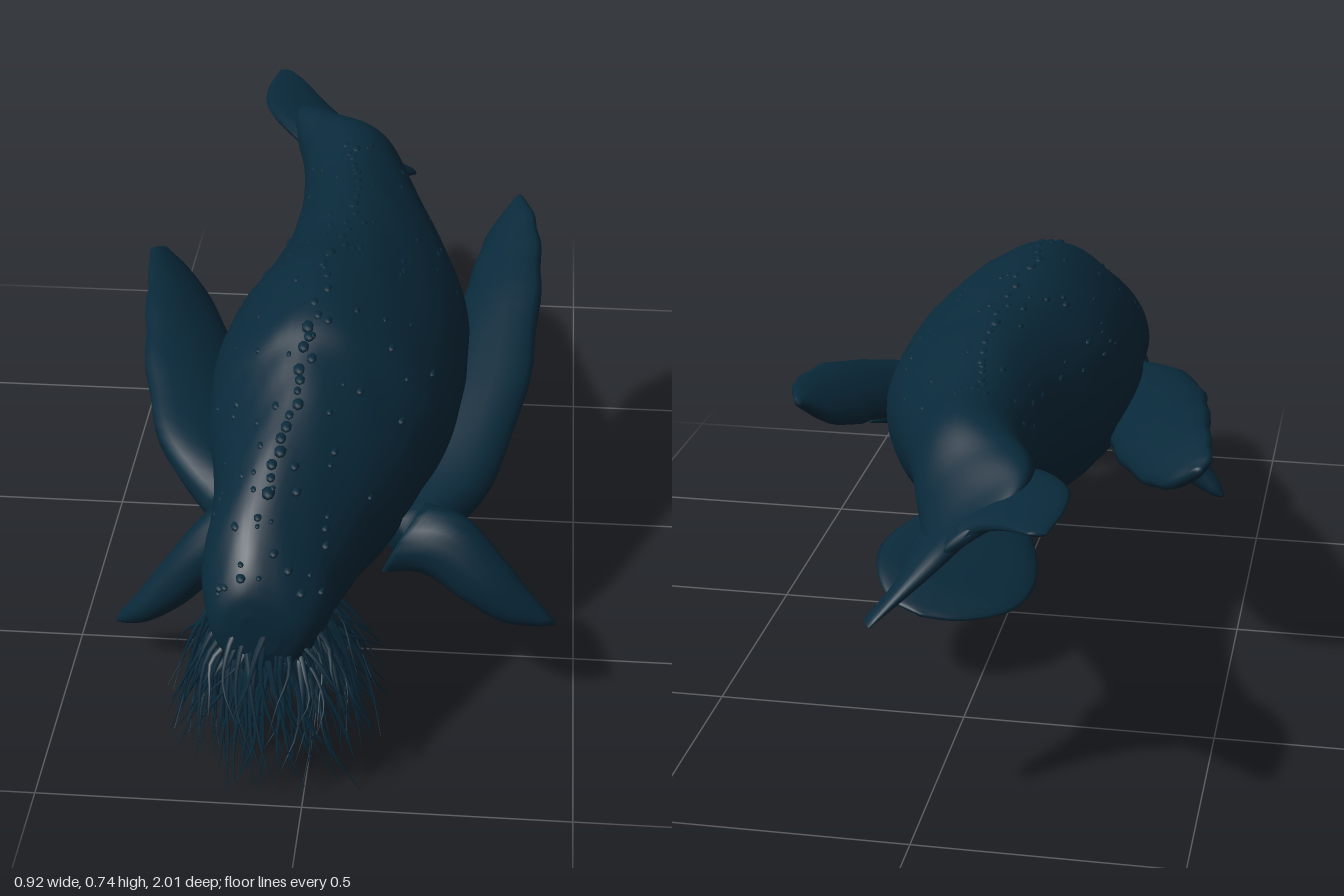
import * as THREE from 'three';
import { mergeGeometries } from 'three/addons/utils/BufferGeometryUtils.js';

const V = (x, y, z) => new THREE.Vector3(x, y, z);

// small seeded random generator
let seed = 7;
function rnd() {
  seed = (seed * 16807) % 2147483647;
  return seed / 2147483647;
}

// closed skin over a list of rings, outward facing, with pointed caps
function loft(rings) {
  const n = rings[0].length, m = rings.length;
  const pts = rings.flat(), idx = [];
  for (let i = 0; i < m - 1; i++) {
    for (let j = 0; j < n; j++) {
      const k = (j + 1) % n;
      const a = i * n + j, b = i * n + k, c = a + n, d = b + n;
      idx.push(a, b, d, a, d, c);
    }
  }
  for (const i of [0, m - 1]) {
    const c = pts.length;
    pts.push(rings[i].reduce((s, p) => s.add(p), V(0, 0, 0)).divideScalar(n));
    for (let j = 0; j < n; j++) {
      const a = i * n + j, b = i * n + (j + 1) % n;
      idx.push(c, i ? a : b, i ? b : a);
    }
  }
  // turn the faces around if the enclosed volume is negative
  let vol = 0;
  for (let i = 0; i < idx.length; i += 3) {
    vol += pts[idx[i]].dot(V(0, 0, 0).crossVectors(pts[idx[i + 1]], pts[idx[i + 2]]));
  }
  if (vol < 0) idx.reverse();
  const g = new THREE.BufferGeometry().setFromPoints(pts);
  g.setIndex(idx);
  g.computeVertexNormals();
  return g;
}

// fin from sections [edge A xyz, edge B xyz, half thickness]
function fin(sections, steps = 32, sides = 16, rough = 0) {
  const cA = new THREE.CatmullRomCurve3(sections.map(s => V(s[0], s[1], s[2])));
  const cB = new THREE.CatmullRomCurve3(sections.map(s => V(s[3], s[4], s[5])));
  const cT = new THREE.CatmullRomCurve3(sections.map((s, i) => V(s[6], i * 0.1, 0)));
  const mid = t => cA.getPoint(t).add(cB.getPoint(t)).multiplyScalar(0.5);
  const rings = [];
  for (let i = 0; i <= steps; i++) {
    const t = i / steps;
    const c = mid(t), half = cB.getPoint(t).sub(cA.getPoint(t)).multiplyScalar(0.5);
    const along = mid(Math.min(1, t + 0.02)).sub(mid(Math.max(0, t - 0.02)));
    const n = half.clone().cross(along).normalize().multiplyScalar(cT.getPoint(t).x);
    half.setLength(half.length() + rough * Math.sin(t * 40) * Math.sin(t * Math.PI));
    rings.push(Array.from({ length: sides }, (_, j) => {
      const a = j / sides * Math.PI * 2;
      return c.clone().addScaledVector(half, Math.cos(a)).addScaledVector(n, Math.sin(a));
    }));
  }
  return loft(rings);
}

// body sections, snout to tail: z, centre x, centre y, half width, half height, twist
const BODY = [
  [0.928, -0.08, 0.34, 0.035, 0.04, 0], [0.915, -0.08, 0.345, 0.08, 0.085, 0],
  [0.88, -0.075, 0.36, 0.108, 0.118, 0], [0.8, -0.07, 0.39, 0.132, 0.15, 0],
  [0.7, -0.045, 0.425, 0.152, 0.176, 0], [0.6, -0.02, 0.45, 0.183, 0.2, 0],
  [0.5, -0.01, 0.47, 0.212, 0.225, 0], [0.4, 0, 0.487, 0.238, 0.252, 0],
  [0.2, 0.01, 0.49, 0.252, 0.257, 0], [0, 0.03, 0.49, 0.23, 0.232, 0],
  [-0.2, 0.03, 0.515, 0.182, 0.19, 0], [-0.4, 0.005, 0.55, 0.137, 0.14, 0],
  [-0.58, -0.032, 0.583, 0.115, 0.108, -0.4], [-0.7, -0.068, 0.575, 0.126, 0.068, -0.66],
  [-0.79, -0.08, 0.567, 0.112, 0.032, -0.66], [-0.865, -0.082, 0.562, 0.05, 0.01, -0.66],
];
const spine = new THREE.CatmullRomCurve3(BODY.map(s => V(s[1], s[2], s[0])), false, 'catmullrom');
const girth = new THREE.CatmullRomCurve3(BODY.map(s => V(s[3], s[4], s[5])), false, 'catmullrom');
function skin(t, a) {
  const c = spine.getPoint(t), r = girth.getPoint(t);
  const s = Math.max(0, Math.sin(a)), fade = Math.min(1, Math.max(0, (0.85 - t) * 6));
  const wave = 1 + 0.007 * fade * Math.sin(t * 70 + 2 * Math.sin(a * 3)) * Math.sin(a * 7 + t * 20);
  // the back narrows towards a ridge
  const x = Math.cos(a) * r.x * wave * (1 - 0.26 * fade * s * s) - 0.022 * fade * s * s;
  const y = Math.sin(a) * r.y * wave;
  const cos = Math.cos(r.z), sin = Math.sin(r.z);
  return V(c.x + x * cos - y * sin, c.y + x * sin + y * cos, c.z);
}

function bodyGeometry() {
  const rings = [];
  for (let i = 0; i <= 110; i++) {
    rings.push(Array.from({ length: 48 }, (_, j) => skin(i / 110, j / 48 * Math.PI * 2)));
  }
  return loft(rings);
}

// low warts sunk into the back, plus a row down the spine
function bumpGeometry() {
  const list = [];
  const add = (t, a, r) => {
    const g = new THREE.SphereGeometry(r, 8, 6);
    g.scale(1, 0.7, 1.8);
    const p = skin(t, a);
    g.translate(p.x - Math.cos(a) * r * 0.6, p.y - Math.sin(a) * r * 0.45, p.z);
    list.push(g);
  };
  for (let i = 0; i < 34; i++) add(0.22 + i * 0.016, Math.PI / 2 + (rnd() - 0.5) * 0.16, 0.008 + rnd() * 0.006);
  for (let i = 0; i < 100; i++) add(0.1 + rnd() * 0.66, Math.PI * (0.1 + 0.8 * rnd()), 0.005 + rnd() * 0.005);
  return mergeGeometries(list);
}

// tapered strands hanging and fanning out around the muzzle
function beardGeometry() {
  const list = [];
  for (let i = 0; i < 170; i++) {
    const phi = (rnd() * 2 - 1) * 1.8, front = 0.5 + 0.5 * Math.cos(phi);
    const d = V(Math.sin(phi), 0, Math.cos(phi));
    const side = V(d.z, 0, -d.x);
    const root = V(-0.073, 0.25 + rnd() * 0.11, 0.805).addScaledVector(d, 0.098 + rnd() * 0.015);
    const len = Math.min(root.y - 0.01 - rnd() * 0.08, 0.06 + (0.03 + 0.21 * rnd()) * (0.3 + front));
    const out = 0.01 + rnd() * 0.085 + (phi > 0.6 ? 0.03 : 0), bend = (rnd() - 0.5) * 0.14;
    const w = 0.004 + rnd() * 0.004;
    const secs = [0, 0.3, 0.65, 1].map((t, k) => {
      const p = root.clone().addScaledVector(d, out * t ** 0.7)
        .addScaledVector(side, bend * t * t + 0.008 * Math.sin(k * 2 + i));
      p.y -= len * t;
      const h = w * (1.08 - t);
      const a = p.clone().addScaledVector(side, -h), b = p.clone().addScaledVector(side, h);
      return [...a.toArray(), ...b.toArray(), h * 0.7];
    });
    list.push(fin(secs, 8, 5));
  }
  return mergeGeometries(list);
}

export function createModel() {
  seed = 7;
  const model = new THREE.Group();
  model.name = 'seaCreature';
  const hide = new THREE.MeshStandardMaterial({ color: 0x09293a });
  hide.name = 'deep teal hide';
  const add = (name, geometry) => {
    const mesh = new THREE.Mesh(geometry, hide);
    mesh.name = name;
    model.add(mesh);
  };

  add('body', bodyGeometry());
  add('backBumps', bumpGeometry());
  add('beard', beardGeometry());

  // long swept side fins, twisting so the outer edge rises towards the tip
  add('leftSideFin', fin([
    [0.13, 0.32, 0.58, 0.21, 0.35, 0.60, 0.06], [0.15, 0.36, 0.43, 0.31, 0.37, 0.46, 0.055],
    [0.19, 0.425, 0.20, 0.385, 0.47, 0.22, 0.048], [0.235, 0.48, -0.05, 0.405, 0.56, -0.03, 0.042],
    [0.262, 0.515, -0.2, 0.402, 0.595, -0.19, 0.032], [0.29, 0.55, -0.31, 0.385, 0.615, -0.30, 0.022],
    [0.345, 0.608, -0.38, 0.36, 0.617, -0.38, 0.008]], 32, 16, 0.003));
  add('rightSideFin', fin([
    [-0.12, 0.34, 0.56, -0.20, 0.38, 0.58, 0.055], [-0.14, 0.35, 0.40, -0.325, 0.43, 0.43, 0.052],
    [-0.18, 0.37, 0.20, -0.395, 0.475, 0.2, 0.046], [-0.235, 0.385, 0, -0.425, 0.505, 0, 0.04],
    [-0.31, 0.41, -0.18, -0.445, 0.518, -0.18, 0.03], [-0.37, 0.44, -0.27, -0.455, 0.508, -0.27, 0.02],
    [-0.425, 0.485, -0.305, -0.44, 0.495, -0.305, 0.008]], 32, 16, 0.003));

  // short front flippers
  add('leftFlipper', fin([
    [0.12, 0.27, 0.60, 0.20, 0.41, 0.56, 0.06], [0.20, 0.285, 0.62, 0.28, 0.385, 0.57, 0.055],
    [0.28, 0.24, 0.64, 0.35, 0.32, 0.60, 0.045], [0.36, 0.20, 0.65, 0.41, 0.25, 0.62, 0.03],
    [0.42, 0.19, 0.64, 0.445, 0.21, 0.63, 0.018], [0.452, 0.188, 0.63, 0.458, 0.194, 0.63, 0.006]], 28));
  add('rightFlipper', fin([
    [-0.12, 0.28, 0.60, -0.18, 0.42, 0.57, 0.055], [-0.19, 0.25, 0.60, -0.25, 0.34, 0.57, 0.05],
    [-0.27, 0.17, 0.595, -0.32, 0.24, 0.565, 0.042], [-0.34, 0.115, 0.58, -0.37, 0.165, 0.56, 0.032],
    [-0.39, 0.092, 0.56, -0.405, 0.115, 0.55, 0.018], [-0.412, 0.088, 0.55, -0.417, 0.093, 0.55, 0.006]], 28));

  // broad paddle under the belly
  add('bellyPaddle', fin([
    [0.02, 0.26, 0.08, 0.08, 0.31, 0.08, 0.03], [-0.06, 0.205, -0.04, 0.16, 0.27, -0.05, 0.028],
    [-0.09, 0.165, -0.18, 0.23, 0.245, -0.2, 0.022], [-0.06, 0.152, -0.29, 0.22, 0.225, -0.3, 0.016],
    [0.03, 0.158, -0.365, 0.175, 0.195, -0.37, 0.01], [0.1, 0.172, -0.39, 0.12, 0.178, -0.39, 0.004]], 32, 20));

  // twisted tail fluke, spanning tip to tip
  add('tailFluke', fin([
    [-0.245, 0.637, -0.998, -0.215, 0.635, -0.998, 0.004], [-0.26, 0.638, -0.89, -0.18, 0.625, -0.965, 0.01],
    [-0.25, 0.634, -0.78, -0.13, 0.60, -0.905, 0.018], [-0.172, 0.615, -0.66, -0.09, 0.575, -0.87, 0.026],
    [-0.05, 0.55, -0.60, -0.065, 0.55, -0.865, 0.028], [0.035, 0.485, -0.66, -0.03, 0.51, -0.87, 0.026],
    [0.048, 0.45, -0.80, 0.025, 0.46, -0.90, 0.016], [0.097, 0.41, -0.915, 0.08, 0.41, -0.948, 0.005]], 40, 16));
  return model;
}
